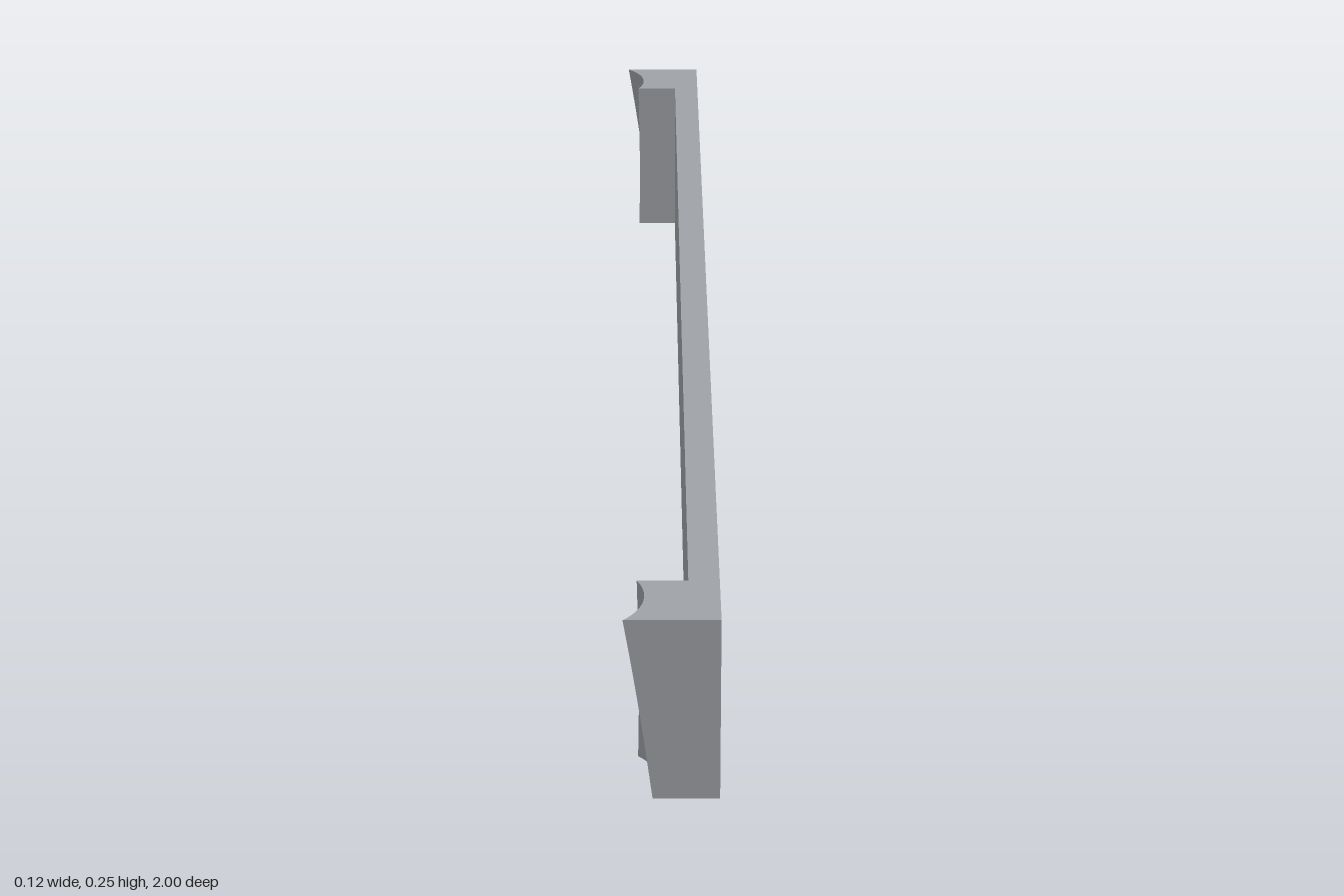
import * as THREE from 'three';

const HEIGHT = 0.253;
const PLATE_BACK = 0.021; // inner face of the long plate
const SCOOP_RADIUS = 0.085;

// Depth of the slanted round scoop at height fraction t and distance z from the middle
function scoopX(t, z) {
  const cx = THREE.MathUtils.lerp(-0.1001, -0.1187, t);
  const cz = THREE.MathUtils.lerp(0.9621, 0.9385, t);
  return cx + Math.sqrt(SCOOP_RADIUS ** 2 - (z - cz) ** 2);
}

// End block: a box whose -x face is pushed onto the scoop
function endBlockGeometry(side) {
  const geometry = new THREE.BoxGeometry(1, 1, 1, 1, 10, 20);
  const p = geometry.attributes.position;
  for (let i = 0; i < p.count; i++) {
    const t = p.getY(i) + 0.5;
    const z = side * 0.95 + p.getZ(i) * 0.1;
    const x = p.getX(i) > 0 ? PLATE_BACK : scoopX(t, Math.abs(z));
    p.setXYZ(i, x, t * HEIGHT, z);
  }
  geometry.computeVertexNormals();
  return geometry;
}

export function createModel() {
  const model = new THREE.Group();
  model.name = 'drawerFront';
  const grey = new THREE.MeshStandardMaterial({ color: 0x9fa3a8 });
  grey.name = 'grey';

  // Long flat plate
  const width = 0.06 - PLATE_BACK;
  const plate = new THREE.Mesh(new THREE.BoxGeometry(width, HEIGHT, 2), grey);
  plate.name = 'plate';
  plate.position.set(PLATE_BACK + width / 2, HEIGHT / 2, 0);
  model.add(plate);

  // Scooped blocks at both ends
  for (const side of [1, -1]) {
    const block = new THREE.Mesh(endBlockGeometry(side), grey);
    block.name = side > 0 ? 'frontEndBlock' : 'backEndBlock';
    model.add(block);
  }
  return model;
}
